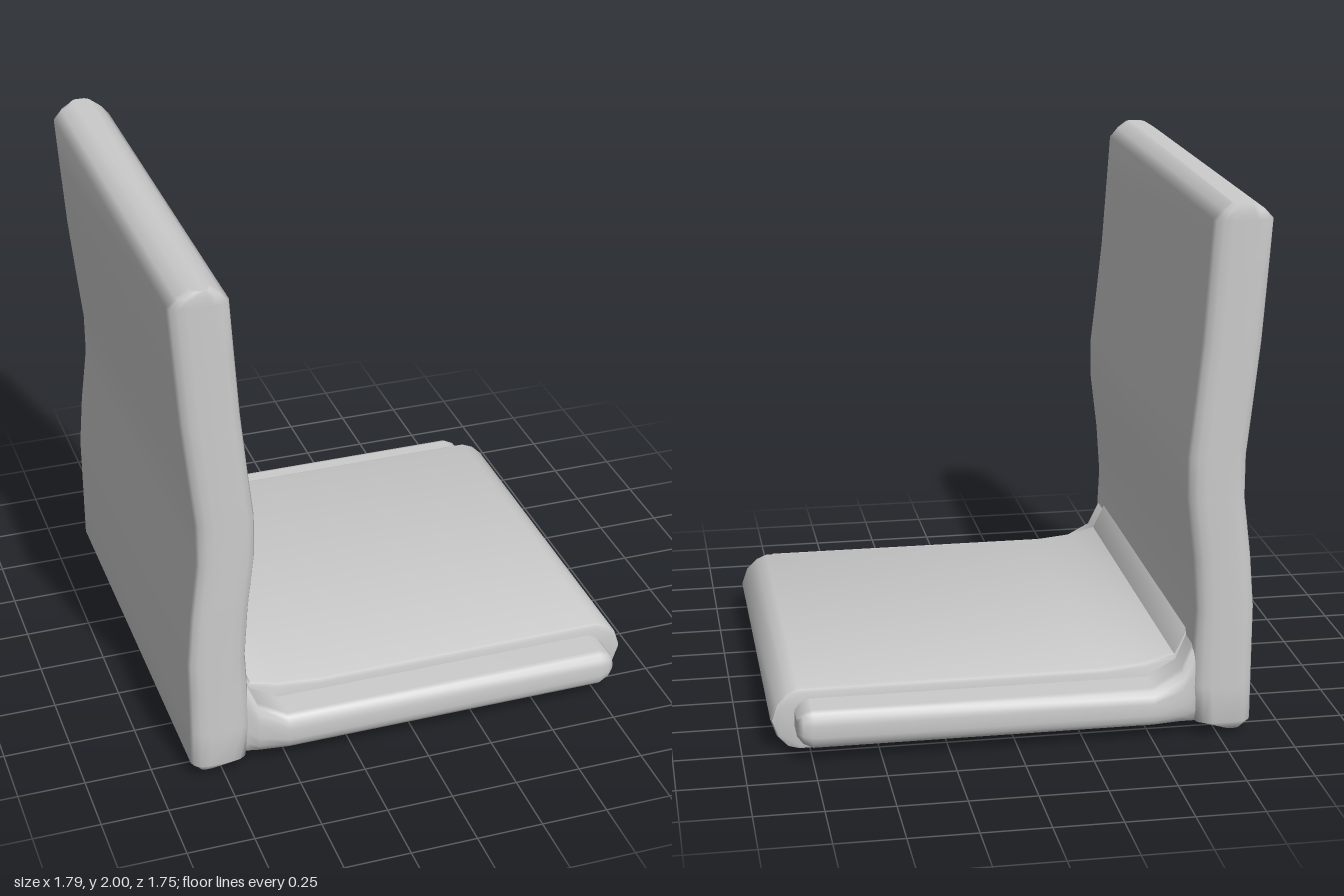
import * as THREE from 'three';
import { toCreasedNormals } from 'three/addons/utils/BufferGeometryUtils.js';

const material = new THREE.MeshStandardMaterial({ color: 0xcccccc });

// Rectangle a0..a1 by b0..b1 with rounded corners, counter-clockwise
function roundedRing(a0, a1, b0, b1, ra, rb, steps = 3) {
  const corners = [[a1 - ra, b1 - rb], [a0 + ra, b1 - rb], [a0 + ra, b0 + rb], [a1 - ra, b0 + rb]];
  const ring = [];
  corners.forEach(([a, b], q) => {
    for (let k = 0; k <= steps; k++) {
      const t = (q + k / steps) * Math.PI / 2;
      ring.push([a + ra * Math.cos(t), b + rb * Math.sin(t)]);
    }
  });
  return ring;
}

// Skin a list of equal-length rings of 3D points and cap both ends
function loft(rings) {
  const n = rings[0].length, index = [];
  for (let i = 0; i < rings.length - 1; i++) {
    for (let j = 0; j < n; j++) {
      const k = (j + 1) % n, a = i * n + j, b = i * n + k;
      index.push(a, b, b + n, a, b + n, a + n);
    }
  }
  const top = (rings.length - 1) * n;
  for (let j = 1; j < n - 1; j++) {
    index.push(top, top + j, top + j + 1, 0, j + 1, j);
  }
  const geometry = new THREE.BufferGeometry();
  geometry.setAttribute('position', new THREE.Float32BufferAttribute(rings.flat(2), 3));
  geometry.setIndex(index);
  geometry.computeVertexNormals();
  return geometry;
}

function part(name, geometry) {
  const mesh = new THREE.Mesh(geometry, material);
  mesh.name = name;
  return mesh;
}

export function createModel() {
  const group = new THREE.Group();
  group.name = 'chairShell';

  // Wavy backrest: height, rear x, front x, half width
  const backRows = [
    [0.02, -0.84, -0.77, 0.84], [0.06, -0.87, -0.66, 0.875], [0.2, -0.87, -0.645, 0.875],
    [0.38, -0.87, -0.65, 0.875], [0.5, -0.87, -0.655, 0.875], [0.7, -0.853, -0.64, 0.875],
    [0.92, -0.825, -0.612, 0.875], [1.08, -0.825, -0.61, 0.875], [1.25, -0.843, -0.628, 0.875],
    [1.5, -0.868, -0.652, 0.875], [1.75, -0.885, -0.668, 0.875], [1.94, -0.897, -0.68, 0.875],
    [1.975, -0.865, -0.71, 0.875], [2.0, -0.825, -0.745, 0.87],
  ];
  group.add(part('backrest', loft(backRows.map(([y, x0, x1, w]) =>
    roundedRing(-w, w, x0, x1, 0.04, (x1 - x0) * 0.3).map(([z, x]) => [x, y, z])))));

  // Wide seat frame, flaring up into the backrest: x, bottom, top, half width
  const frameRows = [
    [-0.72, 0.05, 0.4, 0.85], [-0.655, 0.05, 0.37, 0.855], [-0.61, 0.055, 0.265, 0.865],
    [-0.5, 0.055, 0.2, 0.875], [0.75, 0.055, 0.2, 0.875], [0.785, 0.07, 0.185, 0.865],
    [0.805, 0.095, 0.16, 0.85],
  ];
  group.add(part('seatFrame', loft(frameRows.map(([x, y0, y1, w]) =>
    roundedRing(y0, y1, -w, w, (y1 - y0) * 0.35, 0.04).map(([y, z]) => [x, y, z])))));

  // Narrower seat pad with a rounded nose and a fillet at the rear
  const profile = [
    [-0.72, 0.06], [-0.5, 0.05], [-0.34, 0.008], [0.79, 0], [0.83, 0.012], [0.87, 0.055],
    [0.892, 0.12], [0.87, 0.185], [0.83, 0.225], [0.79, 0.242], [-0.34, 0.242],
    [-0.5, 0.258], [-0.605, 0.285], [-0.65, 0.38], [-0.72, 0.42],
  ];
  const bevel = 0.018, depth = 1.46 - 2 * bevel;
  const pad = new THREE.ExtrudeGeometry(
    new THREE.Shape(profile.map(([x, y]) => new THREE.Vector2(x, y))),
    { depth, bevelEnabled: true, bevelThickness: bevel, bevelSize: bevel, bevelOffset: -bevel, bevelSegments: 2 });
  pad.translate(0, 0, -depth / 2);
  group.add(part('seatPad', toCreasedNormals(pad, 0.7)));

  return group;
}
